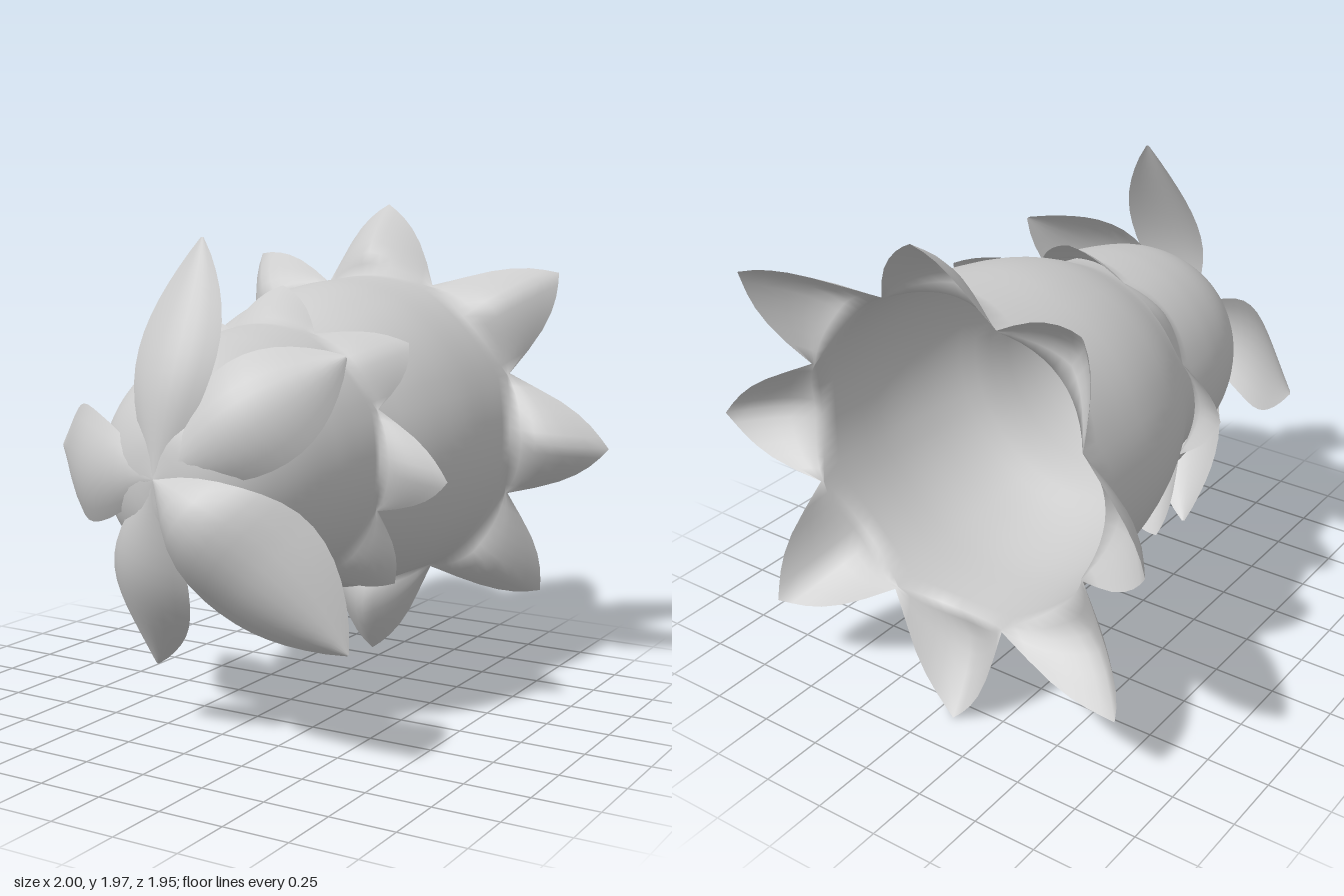
import * as THREE from 'three';

const petalGrey = new THREE.MeshStandardMaterial({ color: 0xcccccc, side: THREE.DoubleSide });
petalGrey.name = 'petalGrey';

const CENTRE = new THREE.Vector3(-0.015, 1.04, 0);

// Builds a smooth sheet from rows of points; closed rows wrap around
function sheet(rows, closed) {
  const n = rows[0].length, index = [];
  const geometry = new THREE.BufferGeometry().setFromPoints(rows.flat());
  for (let r = 0; r < rows.length - 1; r++) {
    for (let c = 0; c < (closed ? n : n - 1); c++) {
      const a = r * n + c, b = r * n + (c + 1) % n;
      index.push(a, b, a + n, b, b + n, a + n);
    }
  }
  geometry.setIndex(index);
  geometry.computeVertexNormals();
  return geometry;
}

function addMesh(group, name, geometry) {
  const mesh = new THREE.Mesh(geometry, petalGrey);
  mesh.name = name;
  group.add(mesh);
}

// Bell around the z axis with eight pointed, flaring lobes on its rim.
// profile: [radius, z] from the closed front to the rim; tips: lobe points;
// cup: how far the lobe sides fold back; arch: how far the middle bows forward
function bell(profile, tips, cup, arch) {
  const PER_LOBE = 12, N = 8 * PER_LOBE, RIM_ROWS = 6, BODY_ROWS = 24;
  const curve = new THREE.CatmullRomCurve3(profile.map(([r, z]) => new THREE.Vector3(r, 0, z)));
  const ringPoint = (angle, r, z) =>
    new THREE.Vector3(CENTRE.x + r * Math.cos(angle), CENTRE.y + r * Math.sin(angle), z);
  const angleOf = (c) => (c / N) * Math.PI * 2;
  const acrossOf = (c) => Math.abs(c / PER_LOBE - Math.round(c / PER_LOBE)) * 2;
  const rows = [];
  for (let i = 0; i <= BODY_ROWS; i++) {
    const p = curve.getPoint(i / BODY_ROWS);
    const fold = cup * (i / BODY_ROWS) ** 6;
    rows.push(Array.from({ length: N }, (_, c) =>
      ringPoint(angleOf(c), p.x, p.z - fold * acrossOf(c) ** 2)));
  }
  const [rimR, rimZ] = profile[profile.length - 1];
  for (let i = 1; i <= RIM_ROWS; i++) {
    const u = i / RIM_ROWS;
    rows.push(Array.from({ length: N }, (_, c) => {
      const lobe = Math.round(c / PER_LOBE) % 8;
      const across = acrossOf(c);
      const height = Math.max(0.03, 0.5 * (1 - across ** 3) + 0.5 * (1 - across));
      const offset = new THREE.Vector3(...tips[lobe])
        .sub(ringPoint(lobe * Math.PI / 4, rimR, rimZ));
      const p = ringPoint(angleOf(c), rimR, rimZ).addScaledVector(offset, u * height);
      p.z += arch * Math.sin(Math.PI * u ** 0.85) * (1 - across) - cup * across ** 2 * (1 + 0.6 * height);
      return p;
    }));
  }
  return sheet(rows, true);
}

// Arched leaf along a line of points; droop bends its sides backwards
function leaf(path, halfWidth, droop) {
  const points = path.map((p) => new THREE.Vector3(...p));
  const curve = new THREE.CatmullRomCurve3(points);
  const along = points[points.length - 1].clone().sub(points[0]);
  const side = new THREE.Vector3(-along.y, along.x, 0).normalize();
  const rows = [];
  for (let i = 0; i <= 14; i++) {
    const v = i / 14;
    const width = 0.006 + halfWidth * Math.sin(Math.PI * v) ** 0.9;
    const centre = curve.getPointAt(v);
    rows.push(Array.from({ length: 9 }, (_, c) => {
      const s = c / 4 - 1;
      const p = centre.clone().addScaledVector(side, -s * width);
      p.z -= droop * s * s * (width / halfWidth);
      return p;
    }));
  }
  return sheet(rows, false);
}

export function createModel() {
  const group = new THREE.Group();

  // Large bell, open at the back; lobes run counter-clockwise from +x
  addMesh(group, 'largeBell', bell(
    [[0.005, 0.84], [0.16, 0.81], [0.28, 0.72], [0.37, 0.58], [0.435, 0.38], [0.478, 0.15],
      [0.545, 0], [0.59, -0.13], [0.628, -0.32], [0.638, -0.52], [0.645, -0.69]],
    [[1, 1, -0.84], [0.71, 1.7, -0.98], [-0.09, 1.98, -0.98], [-0.67, 1.76, -0.86],
      [-1, 1.05, -0.98], [-0.82, 0.33, -0.86], [-0.08, 0.01, -0.84], [0.66, 0.34, -0.98]], 0.07, 0.08));

  // Small bell wrapped around the front half
  addMesh(group, 'smallBell', bell(
    [[0.005, 0.89], [0.17, 0.86], [0.31, 0.77], [0.41, 0.61], [0.465, 0.41], [0.485, 0.28], [0.497, 0.16]],
    [[0.73, 0.98, 0.1], [0.5, 1.47, -0.03], [-0.06, 1.67, -0.04], [-0.43, 1.48, -0.03],
      [-0.67, 1.06, 0.08], [-0.47, 0.55, -0.03], [-0.02, 0.36, -0.05], [0.45, 0.54, -0.03]], 0.04, 0.02));

  // Five leaves spreading from the front end
  const base = [-0.02, 1.04, 0.89];
  const leaves = [
    ['topLeaf', [[-0.01, 1.38, 0.85], [0.01, 1.87, 0.62]], 0.16, 0.06],
    ['upperLeftLeaf', [[0.29, 1.27, 0.82], [0.56, 1.47, 0.56]], 0.2, 0.09],
    ['lowerLeftLeaf', [[0.16, 0.9, 0.97], [0.36, 0.72, 0.87], [0.66, 0.47, 0.715]], 0.25, 0.14],
    ['lowerLeaf', [[-0.13, 0.66, 0.83], [-0.26, 0.26, 0.55]], 0.17, 0.07],
    ['rightLeaf', [[-0.37, 1.04, 0.83], [-0.76, 1.05, 0.47]], 0.21, 0.07],
  ];
  for (const [name, path, halfWidth, droop] of leaves) {
    addMesh(group, name, leaf([base, ...path], halfWidth, droop));
  }
  return group;
}
